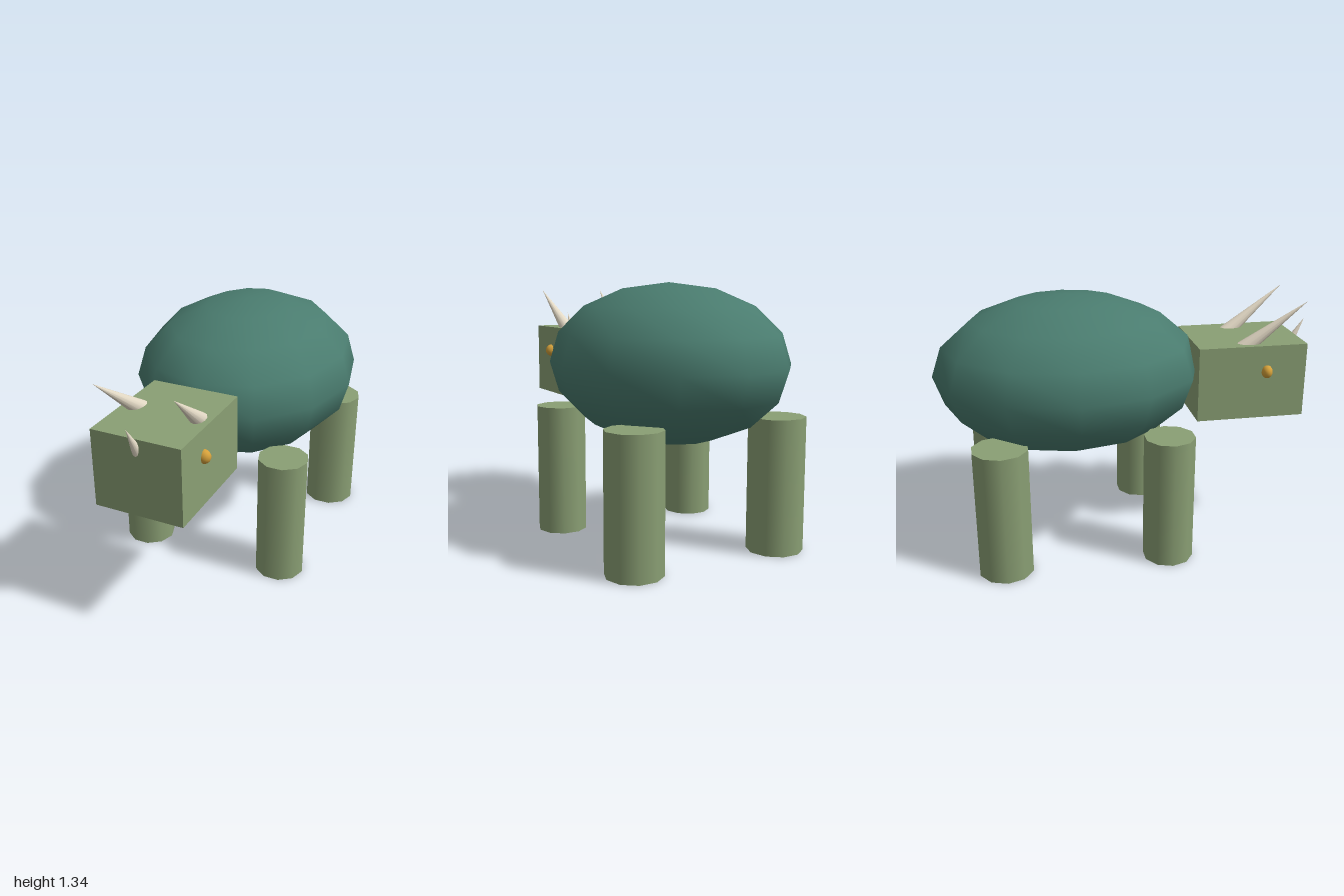
import * as THREE from 'three';

const flat = (name, color) => {
  const m = new THREE.MeshStandardMaterial({ color });
  m.name = name;
  return m;
};

export function createModel() {
  const group = new THREE.Group();
  const teal = flat('shellTeal', 0x4a7c6f);
  const green = flat('skinGreen', 0x8a9f74);
  const ivory = flat('hornIvory', 0xe4dac6);
  const gold = flat('eyeGold', 0xd4a03a);

  const add = (name, geometry, material, x, y, z) => {
    const mesh = new THREE.Mesh(geometry, material);
    mesh.name = name;
    mesh.position.set(x, y, z);
    group.add(mesh);
    return mesh;
  };

  // Cone running from the centre of its base to its tip
  const horn = (name, base, tip, radius) => {
    const a = new THREE.Vector3(...base);
    const dir = new THREE.Vector3(...tip).sub(a);
    const length = dir.length();
    const geometry = new THREE.ConeGeometry(radius, length, 12).translate(0, length / 2, 0);
    const mesh = add(name, geometry, ivory, ...base);
    mesh.quaternion.setFromUnitVectors(new THREE.Vector3(0, 1, 0), dir.normalize());
  };

  // Egg-shaped body and block head
  add('body', new THREE.SphereGeometry(1, 12, 8), teal, 0, 0.93, -0.3).scale.set(0.585, 0.405, 0.7);
  add('head', new THREE.BoxGeometry(0.454, 0.395, 0.58), green, 0, 0.8725, 0.645);
  horn('noseHorn', [0, 0.973, 0.9], [0, 1.147, 1], 0.03);

  // Mirrored legs, eyes and brow horns
  for (const [side, s] of [['left', 1], ['right', -1]]) {
    for (const [end, r, z] of [['Front', 0.1315, 0.165], ['Back', 0.1425, -0.685]]) {
      const leg = new THREE.CylinderGeometry(r, r, 0.68, 10).rotateY(Math.PI / 2);
      add(`${side}${end}Leg`, leg, green, s * 0.4, 0.34, z);
    }
    add(`${side}Eye`, new THREE.SphereGeometry(1, 16, 12), gold, s * 0.227, 0.93, 0.722)
      .scale.set(0.035, 0.035, 0.029);
    horn(`${side}BrowHorn`, [s * 0.155, 1.03, 0.595], [s * 0.197, 1.29, 0.93], 0.044);
  }
  return group;
}
